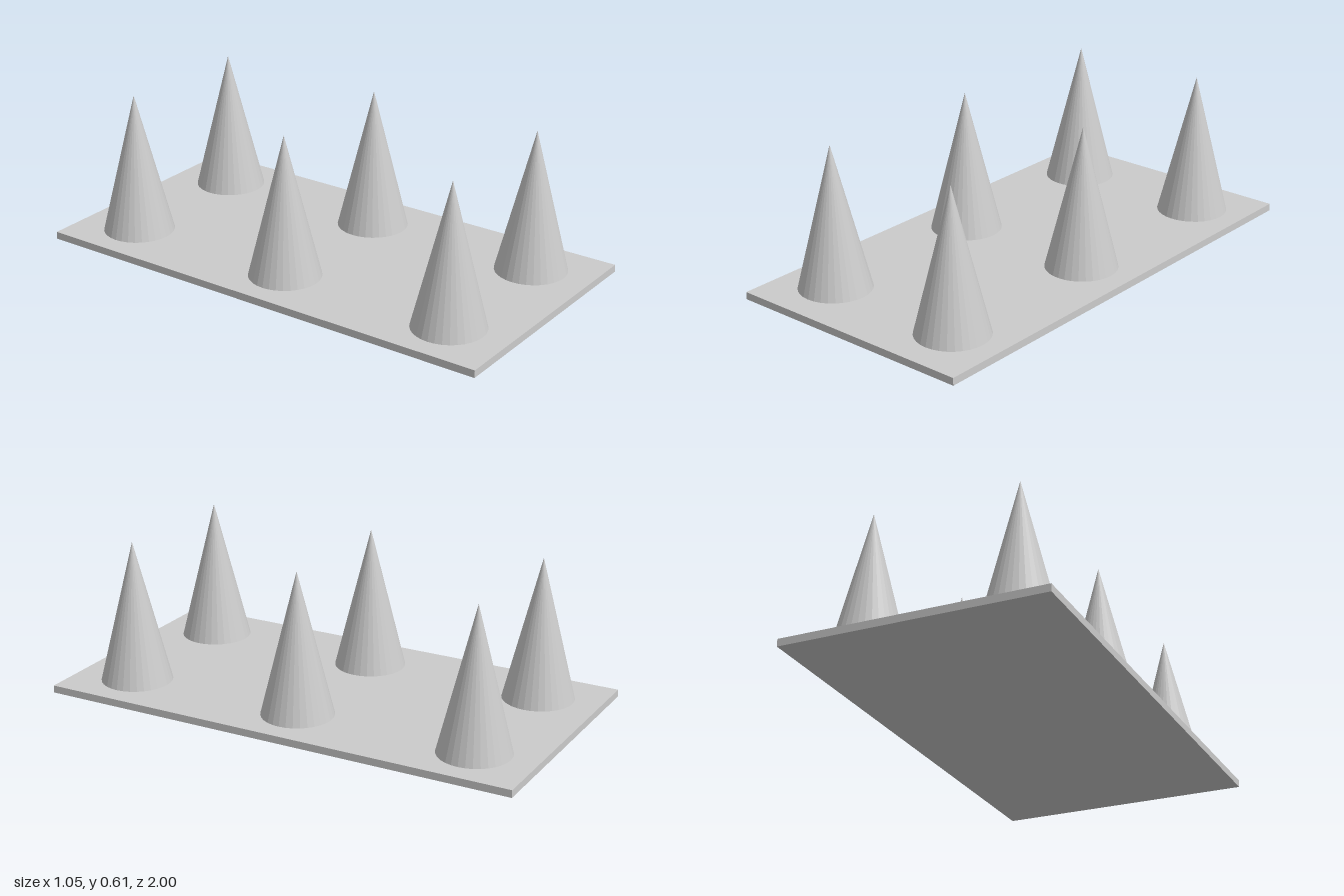
import * as THREE from 'three';

export function createModel() {
  const group = new THREE.Group();
  const material = new THREE.MeshStandardMaterial({ color: 0xcccccc, flatShading: true });
  const baseHeight = 0.03, coneHeight = 0.58, coneRadius = 0.145;

  // Flat rectangular base plate
  const base = new THREE.Mesh(new THREE.BoxGeometry(1.054, baseHeight, 2), material);
  base.name = 'basePlate';
  base.position.y = baseHeight / 2;
  group.add(base);

  // Two columns of three cones standing on the plate
  const coneGeometry = new THREE.ConeGeometry(coneRadius, coneHeight, 32);
  for (const x of [-0.3, 0.3]) {
    for (const z of [-0.75, 0, 0.75]) {
      const cone = new THREE.Mesh(coneGeometry, material);
      cone.name = 'cone';
      cone.position.set(x, baseHeight + coneHeight / 2, z);
      group.add(cone);
    }
  }
  return group;
}
